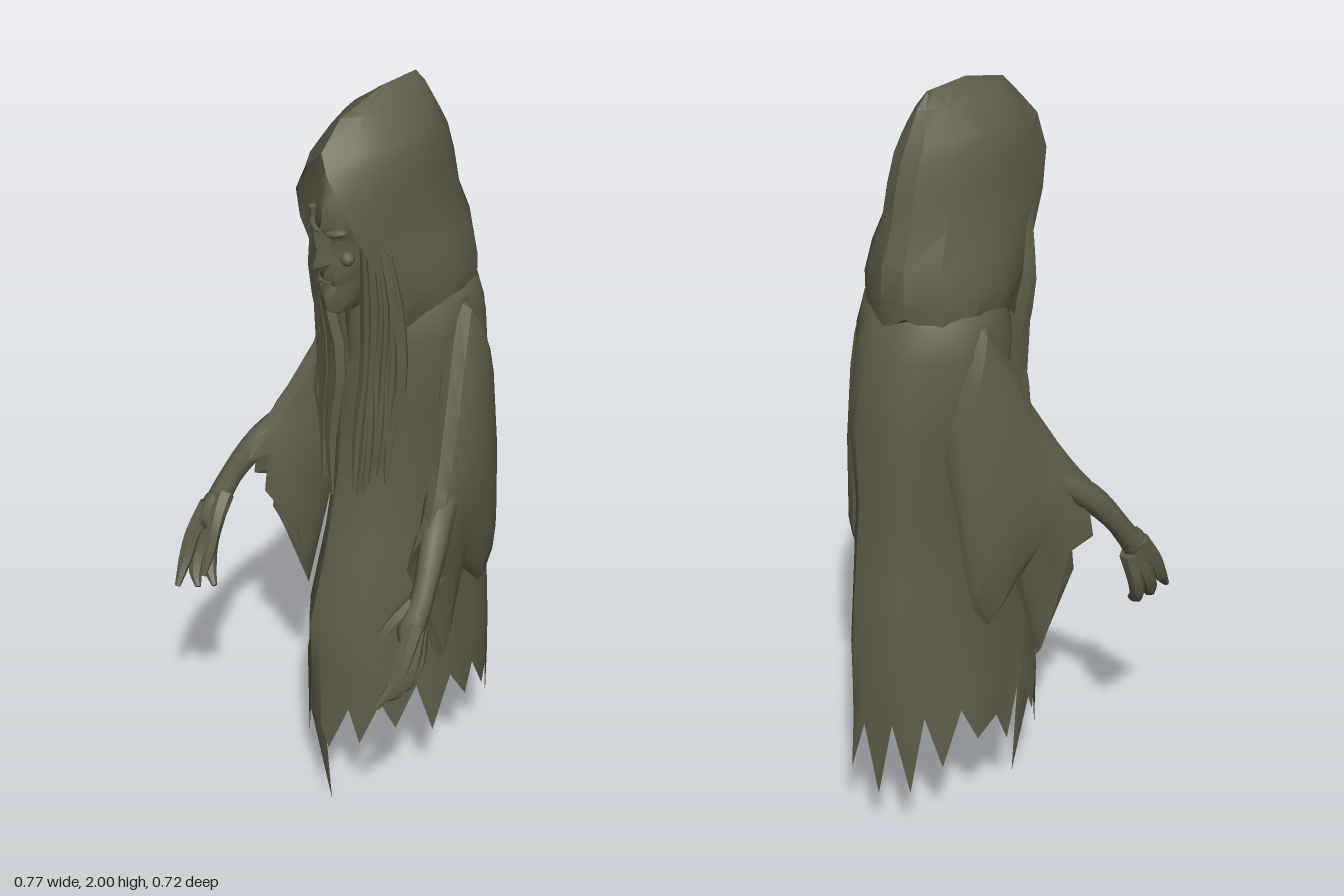
import * as THREE from 'three';
import { toCreasedNormals } from 'three/addons/utils/BufferGeometryUtils.js';

const V = (x, y, z) => new THREE.Vector3(x, y, z);
const lerp = THREE.MathUtils.lerp;

// Skin a list of equal-length rings; closed rings wrap round.
function loft(rings, closed = true, crease = 0.6) {
  const n = rings[0].length, pos = [], idx = [];
  rings.forEach(r => r.forEach(p => pos.push(p.x, p.y, p.z)));
  for (let i = 0; i < rings.length - 1; i++) {
    for (let j = 0; j < (closed ? n : n - 1); j++) {
      const k = (j + 1) % n, a = i * n + j, b = i * n + k, c = a + n, d = b + n;
      idx.push(a, c, b, b, c, d);
    }
  }
  const g = new THREE.BufferGeometry();
  g.setAttribute('position', new THREE.Float32BufferAttribute(pos, 3));
  g.setIndex(idx);
  return toCreasedNormals(g, crease);
}

// Tapered limb or strand along a smooth path, with a radius per path point.
function limb(points, radii, sides = 6, steps = 10) {
  const curve = new THREE.CatmullRomCurve3(points);
  const rings = [];
  for (let i = 0; i <= steps; i++) {
    const t = i / steps, c = curve.getPoint(t), d = curve.getTangent(t);
    const u = V(0, 0, 1).cross(d);
    if (u.lengthSq() < 1e-4) u.set(1, 0, 0);
    u.normalize();
    const w = d.clone().cross(u);
    const f = t * (radii.length - 1), k = Math.min(Math.floor(f), radii.length - 2);
    const r = lerp(radii[k], radii[k + 1], f - k);
    rings.push(Array.from({ length: sides }, (_, j) => {
      const a = -j / sides * Math.PI * 2;
      return c.clone().addScaledVector(u, r * Math.cos(a)).addScaledVector(w, r * Math.sin(a));
    }));
  }
  const shrink = p => rings[0].map(() => p.clone());
  return loft([shrink(points[0]), ...rings, shrink(points[points.length - 1])], true, 0.8);
}

// Oval ring at height y: half width, front z and back z; angle 0 faces the front.
function oval(y, rx, zf, zb, n, fold = 0) {
  return Array.from({ length: n }, (_, i) => {
    const a = i / n * Math.PI * 2, k = 1 + fold * Math.cos(a * 8 + y * 2);
    return V(rx * k * Math.sin(a), y, (zf + zb) / 2 + (zf - zb) / 2 * k * Math.cos(a));
  });
}

export function createModel() {
  const root = new THREE.Group();
  const cloth = new THREE.MeshStandardMaterial({ color: 0x5e5c47, side: THREE.DoubleSide });
  cloth.name = 'drab olive';
  const add = (name, geo, parent = root) => {
    const m = new THREE.Mesh(geo, cloth);
    m.name = name;
    parent.add(m);
    return m;
  };
  let seed = 7;
  const rnd = () => (seed = (seed * 16807) % 2147483647) / 2147483647;

  // Robe: ovals from neck to hem, then one row of torn points
  const N = 32;
  const robe = [
    [1.57, 0.05, 0.02, -0.17], [1.53, 0.13, 0.04, -0.22], [1.48, 0.17, 0.06, -0.26], [1.4, 0.18, 0.085, -0.29],
    [1.2, 0.162, 0.09, -0.33], [1.0, 0.14, 0.11, -0.325], [0.8, 0.147, 0.15, -0.34],
    [0.6, 0.16, 0.205, -0.355], [0.46, 0.172, 0.2, -0.35],
  ].map(([y, rx, f, b], i) => oval(y, rx, f, b, N, i < 3 ? 0 : 0.025));
  const tips = [0.24, 0.27, 0.3, 0.26, 0.31, 0.28, 0.17, 0.24, 0.18, 0.2, 0.27, 0.33, 0.27, 0.29, 0.19, 0];
  robe.push(oval(0.4, 0.178, 0.2, -0.345, N, 0.025).map((p, i) => {
    if (i % 2) {
      p.y = tips[(i - 1) / 2];
      p.x += 0.02 * (rnd() - 0.5);
      p.z += 0.03 * (rnd() - 0.5);
      if (i === N - 1) p.set(-0.03, 0, 0.14);
    } else p.y = (i === 0 || i === N - 2) ? 0.3 : 0.34 + 0.1 * rnd();
    return p;
  }));
  add('robe', loft(robe));

  // Hood: open rows running from one front edge round the back to the other
  // [y, front edge x, front edge z, half width, back z]
  const hoodRows = [
    [2.0, 0, 0.0, 0, -0.12], [1.965, 0, 0.12, 0.045, -0.15], [1.9, 0, 0.18, 0.095, -0.18],
    [1.86, 0.035, 0.198, 0.108, -0.2], [1.79, 0.075, 0.188, 0.115, -0.22], [1.7, 0.092, 0.16, 0.124, -0.235],
    [1.62, 0.105, 0.12, 0.142, -0.265], [1.54, 0.12, 0.08, 0.16, -0.27], [1.48, 0.115, 0.06, 0.158, -0.265],
    [1.42, 0.1, 0.07, 0.13, -0.2],
  ].map(([y, xf, zf, w, zb], row) => {
    const half = [
      [xf, zf], [lerp(xf, w, 0.6), lerp(zf, zb, 0.15)], [lerp(xf, w, 0.93), lerp(zf, zb, 0.33)],
      [w, lerp(zf, zb, 0.55)], [w * 0.8, lerp(zf, zb, 0.8)], [w * 0.38, lerp(zf, zb, 0.96)], [0, zb],
    ];
    const jag = row > 7 ? 0.02 : 0;
    const side = s => half.map(([x, z], i) => V(s * x, y + jag * (i % 2 ? 1 : -1), z));
    return [...side(1), ...side(-1).reverse().slice(1)];
  });
  add('hood', loft(hoodRows, false, 0.5));

  // Head, set inside the hood
  const head = new THREE.Group();
  head.name = 'head';
  root.add(head);
  add('face', loft([
    [1.9, 0.001, 0.08, 0.07], [1.88, 0.035, 0.12, 0], [1.82, 0.064, 0.162, -0.04], [1.76, 0.07, 0.18, -0.06],
    [1.71, 0.07, 0.186, -0.06], [1.68, 0.064, 0.165, -0.06], [1.63, 0.063, 0.17, -0.04], [1.58, 0.053, 0.178, -0.01],
    [1.56, 0.049, 0.165, 0.01], [1.53, 0.044, 0.176, 0.03], [1.49, 0.032, 0.168, 0.05], [1.47, 0.001, 0.13, 0.12],
  ].map(([y, w, f, b]) => oval(y, w, f, b, 14)), true, 0.7), head);
  add('neck', limb([V(0, 1.58, 0.04), V(0, 1.46, 0.05), V(0, 1.32, 0.04)], [0.045, 0.04, 0.05], 8), head);
  add('nose', loft([[1.72, 0.008, 0.187], [1.66, 0.013, 0.198], [1.62, 0.019, 0.212], [1.6, 0.012, 0.18]]
    .map(([y, w, z]) => [V(0, y, z), V(w, y, 0.155), V(-w, y, 0.155)]), true, 0.3), head);
  add('lips', new THREE.BoxGeometry(0.036, 0.009, 0.012).translate(0, 1.572, 0.175), head);
  for (const s of [1, -1]) {
    const brow = add('brow', new THREE.SphereGeometry(1, 8, 6), head);
    brow.scale.set(0.03, 0.01, 0.014);
    brow.position.set(s * 0.032, 1.706, 0.168);
    brow.rotation.set(0, s * 0.4, s * 0.22);
    const cheek = add('cheekbone', new THREE.SphereGeometry(1, 8, 6), head);
    cheek.scale.set(0.018, 0.018, 0.018);
    cheek.position.set(s * 0.041, 1.635, 0.142);
  }

  // Hair: ragged strands hanging from the hood over the chest
  const hair = new THREE.Group();
  hair.name = 'hair';
  root.add(hair);
  for (const s of [1, -1]) {
    for (let i = 0; i < 8; i++) {
      const x = 0.045 + 0.011 * i, end = 0.91 + 0.2 * rnd(), w = () => 0.02 * (rnd() - 0.5);
      add('hairStrand', limb([
        V(s * (0.082 + 0.005 * i), 1.72 - 0.01 * i, 0.13 - 0.006 * i),
        V(s * (x + 0.024 - 0.002 * i) + w(), 1.5, 0.1 - 0.005 * i), V(s * x + w(), 1.32, 0.092 - 0.005 * i),
        V(s * x + w(), lerp(1.32, end, 0.55), 0.105 - 0.005 * i), V(s * (x - 0.006) + w(), end, 0.12 - 0.005 * i),
      ], [0.01, 0.018, 0.019, 0.015, 0.003], 5, 9), hair);
    }
  }

  // Arm built on the +x side: draped sleeve, forearm and clawed hand
  function buildArm(name) {
    const arm = new THREE.Group();
    arm.name = name;
    // Each ring: upper edge, hanging lower edge, half thickness
    const rows = [
      [V(0.08, 1.53, -0.11), V(0.09, 1.28, -0.2), 0.045], [V(0.165, 1.47, -0.1), V(0.15, 1.12, -0.21), 0.062],
      [V(0.195, 1.36, -0.045), V(0.18, 0.98, -0.205), 0.062], [V(0.22, 1.24, 0.0), V(0.2, 0.8, -0.19), 0.062],
      [V(0.238, 1.18, 0.03), V(0.205, 0.74, -0.175), 0.06], [V(0.253, 1.13, 0.055), V(0.21, 0.68, -0.135), 0.058],
      [V(0.268, 1.085, 0.08), V(0.218, 0.78, -0.05), 0.056], [V(0.28, 1.045, 0.105), V(0.228, 0.53, 0.02), 0.053],
      [V(0.292, 1.01, 0.13), V(0.238, 0.78, 0.05), 0.05],
    ];
    const lateral = V(0.9, 0, -0.42), M = 14;
    const rings = rows.map(([t, b, w], r) => Array.from({ length: M }, (_, i) => {
      const a = i / M * Math.PI * 2, k = (1 - Math.cos(a)) / 2;
      const p = t.clone().lerp(b, k);
      p.addScaledVector(lateral, -Math.sin(a) * w * (1 - 0.35 * k));
      // Torn cuff: alternate points reach forward and down
      if (r === rows.length - 1 && i % 2) p.add(V(0.008, -0.05, 0.035));
      return p;
    }));
    add('sleeve', loft(rings, true, 0.55), arm);
    add('forearm', limb([V(0.25, 1.05, 0.03), V(0.3, 0.97, 0.12), V(0.33, 0.89, 0.18), V(0.342, 0.82, 0.225)],
      [0.036, 0.036, 0.028, 0.03], 8), arm);
    const palm = add('palm', new THREE.SphereGeometry(1, 8, 6), arm);
    palm.scale.set(0.032, 0.055, 0.036);
    palm.position.set(0.342, 0.81, 0.235);
    palm.rotation.x = -0.6;
    [
      [V(0.354, 0.82, 0.24), V(0.364, 0.75, 0.285), V(0.361, 0.69, 0.315), V(0.345, 0.635, 0.36)],
      [V(0.35, 0.8, 0.23), V(0.362, 0.71, 0.265), V(0.348, 0.65, 0.295), V(0.322, 0.62, 0.312)],
      [V(0.345, 0.79, 0.215), V(0.355, 0.7, 0.235), V(0.34, 0.645, 0.255), V(0.302, 0.615, 0.275)],
    ].forEach(p => add('finger', limb(p, [0.024, 0.02, 0.018, 0.007]), arm));
    add('thumb', limb([V(0.325, 0.85, 0.21), V(0.302, 0.8, 0.265), V(0.292, 0.74, 0.295), V(0.285, 0.68, 0.325)],
      [0.024, 0.019, 0.016, 0.007]), arm);
    return arm;
  }
  root.add(buildArm('leftArm'));

  // Opposite arm is a mirror image
  const right = buildArm('rightArm');
  right.scale.x = -1;
  root.add(right);
  return root;
}
